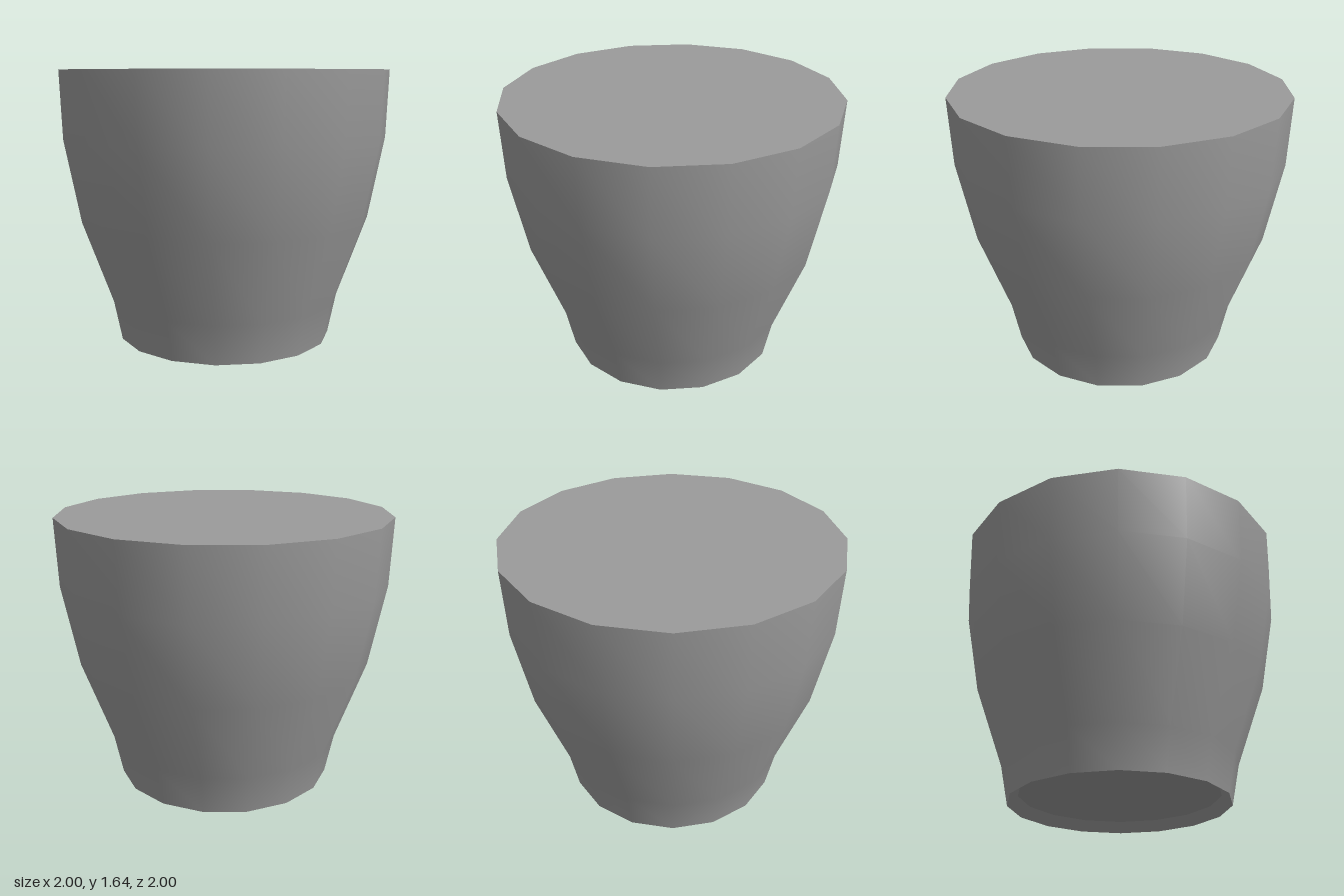
import * as THREE from 'three';

const SIDES = 16;
const HEIGHT = 1.645;
const COLOR = 0x9b9b9b;

export function createModel() {
  const group = new THREE.Group();
  group.name = 'taperedCup';
  const smooth = new THREE.MeshStandardMaterial({ color: COLOR });
  const faceted = new THREE.MeshStandardMaterial({ color: COLOR, flatShading: true });

  // Revolve a profile of [radius, height] pairs
  function revolve(name, profile, material) {
    const points = profile.map(([r, y]) => new THREE.Vector2(r, y));
    const mesh = new THREE.Mesh(new THREE.LatheGeometry(points, SIDES), material);
    mesh.name = name;
    group.add(mesh);
  }

  // Flat disc facing up (1) or down (-1)
  function disc(name, radius, y, facing) {
    const mesh = new THREE.Mesh(new THREE.CircleGeometry(radius, SIDES), smooth);
    mesh.name = name;
    mesh.rotation.x = -facing * Math.PI / 2;
    mesh.position.y = y;
    group.add(mesh);
  }

  // Smooth flaring wall with a flat closed top
  revolve('wall', [[0.66, 0], [0.71, 0.245], [0.89, 0.745], [0.985, 1.24], [1, HEIGHT]], smooth);
  disc('top', 1, HEIGHT, 1);

  // Shallow recess under the base with sloping, faceted sides
  revolve('baseRim', [[0.6, 0.06], [0.66, 0]], faceted);
  disc('baseFloor', 0.6, 0.06, -1);

  return group;
}
